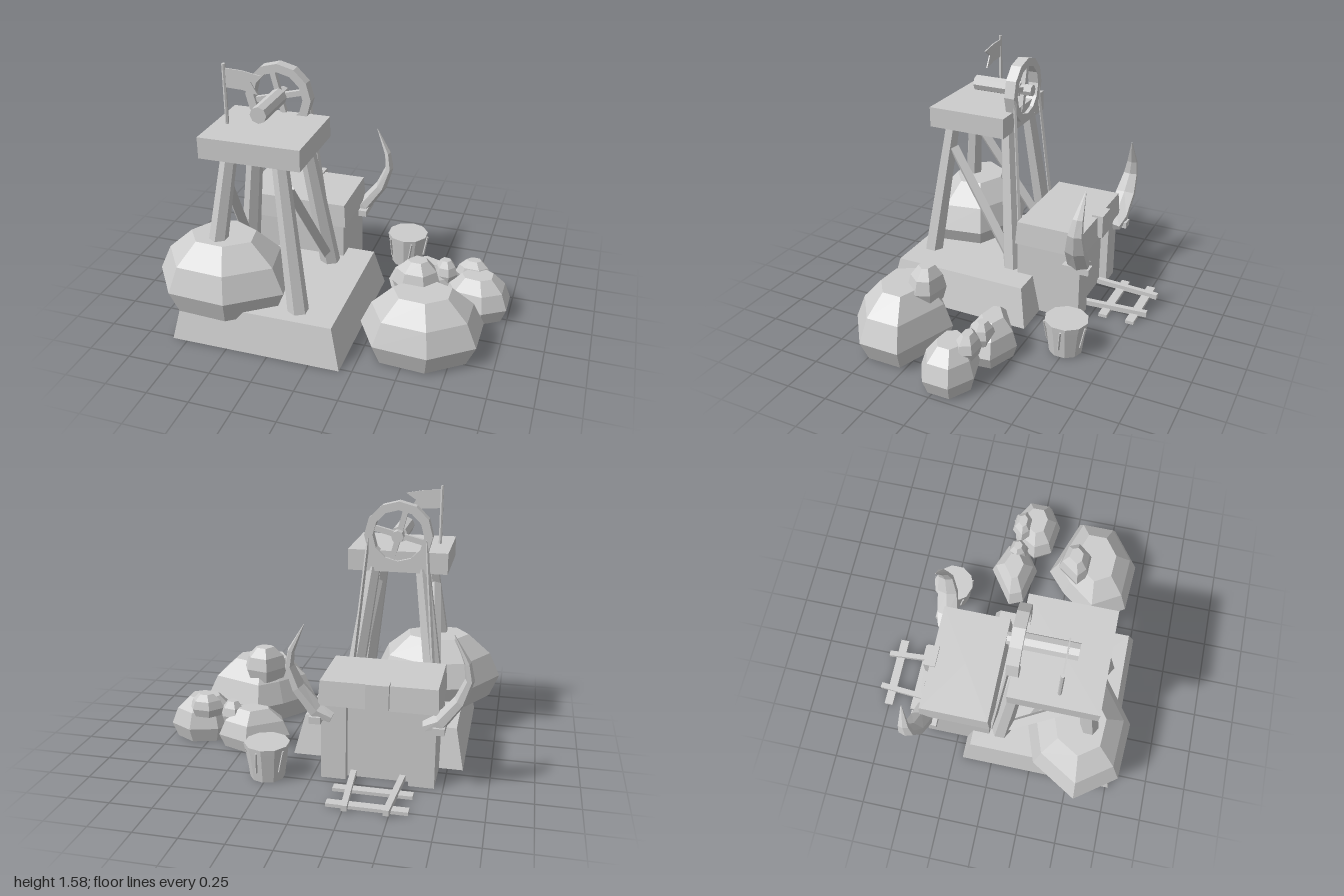
import * as THREE from 'three';

const stone = new THREE.MeshStandardMaterial({ color: 0xcccccc, flatShading: true, side: THREE.DoubleSide });
stone.name = 'stone grey';
const V = (x, y, z) => new THREE.Vector3(x, y, z);

function add(parent, name, geometry, x = 0, y = 0, z = 0) {
  const mesh = new THREE.Mesh(geometry, stone);
  mesh.name = name;
  mesh.position.set(x, y, z);
  parent.add(mesh);
  return mesh;
}

// Box given by its extents
function box(parent, name, x0, x1, y0, y1, z0, z1) {
  return add(parent, name, new THREE.BoxGeometry(x1 - x0, y1 - y0, z1 - z0),
    (x0 + x1) / 2, (y0 + y1) / 2, (z0 + z1) / 2);
}

// Tapered bar between two points
function beam(parent, name, a, b, ra, rb, sides) {
  const dir = b.clone().sub(a);
  const mesh = add(parent, name, new THREE.CylinderGeometry(rb, ra, dir.length(), sides));
  mesh.position.copy(a).addScaledVector(dir, 0.5);
  mesh.quaternion.setFromUnitVectors(V(0, 1, 0), dir.normalize());
  return mesh;
}

// Skin over a stack of rings, with optional end caps
function loft(rings, capBottom = true, capTop = true) {
  const pos = [], n = rings[0].length;
  const tri = (...pts) => pts.forEach(p => pos.push(p.x, p.y, p.z));
  const middle = ring => ring.reduce((s, p) => s.add(p), V(0, 0, 0)).divideScalar(n);
  const first = rings[0], last = rings[rings.length - 1];
  for (let i = 0; i < n; i++) {
    const j = (i + 1) % n;
    for (let k = 0; k + 1 < rings.length; k++) {
      tri(rings[k][i], rings[k][j], rings[k + 1][j]);
      tri(rings[k][i], rings[k + 1][j], rings[k + 1][i]);
    }
    if (capBottom) tri(middle(first), first[j], first[i]);
    if (capTop) tri(middle(last), last[i], last[j]);
  }
  const g = new THREE.BufferGeometry();
  g.setAttribute('position', new THREE.Float32BufferAttribute(pos, 3));
  g.computeVertexNormals();
  return g;
}

// Faceted rock: plan outline scaled at each [height, scale] level
function rock(parent, name, outline, levels) {
  const xs = outline.map(p => p[0]), zs = outline.map(p => p[1]);
  const cx = (Math.min(...xs) + Math.max(...xs)) / 2, cz = (Math.min(...zs) + Math.max(...zs)) / 2;
  add(parent, name, loft(levels.map(([y, s]) =>
    outline.map(([x, z]) => V(cx + (x - cx) * s, y, cz + (z - cz) * s)))));
}

export function createModel() {
  const model = new THREE.Group();
  model.name = 'mineHead';

  // Sloping plinth, open underneath
  const rect = (x0, x1, y, z0, z1) => [V(x0, y, z0), V(x0, y, z1), V(x1, y, z1), V(x1, y, z0)];
  add(model, 'plinth', loft([rect(-0.84, 0.18, 0, -0.19, 0.77), rect(-0.79, 0.12, 0.24, -0.14, 0.72)], false));

  // Tower: legs, braces, hoist ropes, platform
  const tower = new THREE.Group();
  tower.name = 'tower';
  model.add(tower);
  const mid = -0.385;
  for (const s of [-1, 1]) {
    beam(tower, 'frontLeg', V(mid + s * 0.29, 0.09, 0.62), V(mid + s * 0.147, 1.12, 0.495), 0.064, 0.046, 6);
    beam(tower, 'backLeg', V(mid + s * 0.29, 0.09, 0.015), V(mid + s * 0.147, 1.12, 0.12), 0.064, 0.046, 6);
    beam(tower, 'brace', V(mid + s * 0.26, 0.27, 0.04), V(mid + s * 0.185, 0.94, 0.48), 0.036, 0.036, 4);
    beam(tower, 'hoistRope', V(mid + s * 0.27, 0.22, -0.03), V(mid + s * 0.17, 1.3, 0.065), 0.014, 0.01, 4);
  }
  box(tower, 'platform', -0.68, -0.09, 1.1, 1.225, 0.08, 0.58);

  // Winding wheel and axle
  const wheel = new THREE.Group();
  wheel.name = 'windingWheel';
  wheel.position.set(-0.39, 1.32, 0.09);
  model.add(wheel);
  const rim = [[0.15, -0.033], [0.2, -0.033], [0.2, 0.033], [0.15, 0.033], [0.15, -0.033]];
  add(wheel, 'rim', new THREE.LatheGeometry(rim.map(p => new THREE.Vector2(...p)), 12)).rotation.x = Math.PI / 2;
  for (let i = 0; i < 2; i++) {
    add(wheel, 'spoke', new THREE.BoxGeometry(0.32, 0.032, 0.03)).rotation.z = 0.25 + i * Math.PI / 2;
  }
  beam(wheel, 'axle', V(0, 0, 0.01), V(0, 0, 0.32), 0.049, 0.049, 8);
  beam(wheel, 'hub', V(0, 0, -0.065), V(0, 0, 0.02), 0.036, 0.036, 8);

  // Flag with a swallow tail
  beam(model, 'flagPole', V(-0.605, 1.22, 0.35), V(-0.605, 1.575, 0.35), 0.011, 0.011, 6);
  const flag = new THREE.Shape([[-0.6, 1.44], [-0.5, 1.435], [-0.41, 1.415], [-0.45, 1.485],
    [-0.39, 1.525], [-0.5, 1.545], [-0.6, 1.55]].map(p => new THREE.Vector2(...p)));
  add(model, 'flag', new THREE.ExtrudeGeometry(flag, { depth: 0.008, bevelEnabled: false }), 0, 0, 0.346);

  // Mine entrance facing the back
  const entrance = new THREE.Group();
  entrance.name = 'entrance';
  model.add(entrance);
  box(entrance, 'chamber', -0.7, -0.05, 0, 0.46, -0.4, -0.035);
  box(entrance, 'doorPost', -0.7, -0.555, 0, 0.46, -0.45, -0.4);
  box(entrance, 'doorPost', -0.195, -0.05, 0, 0.46, -0.45, -0.4);
  add(entrance, 'roof', loft([rect(-0.715, -0.035, 0.45, -0.465, -0.025), rect(-0.705, -0.045, 0.595, -0.455, -0.035)]));
  box(entrance, 'keystone', -0.44, -0.31, 0.46, 0.607, -0.492, -0.42);

  // Curved tusks flanking the entrance: [x, y, z, half thickness, half width]
  const tuskPath = [[0.26, 0.38, -0.445, 0.03, 0.06], [0.35, 0.42, -0.45, 0.045, 0.075],
    [0.45, 0.555, -0.465, 0.036, 0.07], [0.495, 0.68, -0.478, 0.026, 0.05],
    [0.48, 0.775, -0.487, 0.02, 0.035], [0.405, 0.93, -0.5, 0.002, 0.003]];
  const tuskRings = tuskPath.map(([x, y, z, thick, wide], i) => {
    const a = tuskPath[Math.max(i - 1, 0)], b = tuskPath[Math.min(i + 1, tuskPath.length - 1)];
    const across = V(b[1] - a[1], a[0] - b[0], 0).normalize();
    return Array.from({ length: 6 }, (_, k) => {
      const t = k * Math.PI / 3;
      return V(x, y, z + Math.sin(t) * wide).addScaledVector(across, -Math.cos(t) * thick);
    });
  });
  for (const s of [1, -1]) {
    const side = new THREE.Group();
    side.name = s > 0 ? 'leftTusk' : 'rightTusk';
    side.position.x = -0.375;
    side.scale.x = s;
    add(side, 'tusk', loft(tuskRings));
    box(side, 'tuskBracket', 0.31, 0.377, 0.36, 0.4, -0.525, -0.355);
    model.add(side);
  }

  // Track running out of the entrance
  for (const z of [-0.75, -0.575]) box(model, 'sleeper', -0.6, -0.15, 0, 0.02, z - 0.027, z + 0.027);
  for (const s of [-1, 1]) {
    box(model, 'rail', -0.392, -0.358, 0.012, 0.045, -0.825, -0.41).position.x += s * 0.127;
    model.children[model.children.length - 1].rotation.y = s * 0.07;
  }

  // Tapered bucket with thin staves
  const bucket = new THREE.Group();
  bucket.name = 'bucket';
  bucket.position.set(0.255, 0, -0.495);
  model.add(bucket);
  add(bucket, 'bucketBody', new THREE.CylinderGeometry(0.125, 0.1, 0.2, 10), 0, 0.1, 0);
  add(bucket, 'bucketRim', new THREE.CylinderGeometry(0.131, 0.127, 0.035, 10), 0, 0.193, 0);
  for (let i = 0; i < 5; i++) {
    const t = i * Math.PI * 0.4 + 0.3;
    beam(bucket, 'stave', V(Math.sin(t) * 0.11, 0.06, Math.cos(t) * 0.11),
      V(Math.sin(t + 0.12) * 0.131, 0.19, Math.cos(t + 0.12) * 0.131), 0.007, 0.007, 4);
  }

  // Boulders
  rock(model, 'leaningBoulder', [[-1, 0.55], [-0.825, 0.795], [-0.48, 0.815], [-0.2, 0.61], [-0.25, 0.33],
    [-0.57, 0.18], [-0.835, 0.27]], [[0.19, 0.85], [0.33, 1], [0.48, 0.83], [0.605, 0.48]]);
  rock(model, 'largeBoulder', [[0.21, 0.45], [0.34, 0.67], [0.655, 0.69], [0.895, 0.51], [0.895, 0.26],
    [0.505, 0.12], [0.37, 0.24]], [[0, 0.84], [0.13, 1], [0.27, 0.82], [0.385, 0.47]]);
  rock(model, 'largeBoulderCap', [[0.36, 0.32], [0.43, 0.38], [0.56, 0.385], [0.635, 0.29], [0.6, 0.21],
    [0.46, 0.18]], [[0.28, 0.8], [0.36, 1], [0.44, 0.82], [0.5, 0.42]]);
  rock(model, 'middleBoulder', [[0.23, -0.11], [0.27, -0.02], [0.51, 0.03], [0.67, -0.08], [0.655, -0.2],
    [0.46, -0.275]], [[0, 0.84], [0.08, 1], [0.17, 0.82], [0.245, 0.42]]);
  rock(model, 'middleBoulderCap', [[0.51, -0.12], [0.55, -0.06], [0.62, -0.055], [0.665, -0.11], [0.64, -0.17],
    [0.55, -0.185]], [[0.14, 0.8], [0.19, 1], [0.24, 0.8], [0.28, 0.42]]);
  rock(model, 'outerBoulder', [[0.6, -0.01], [0.66, 0.1], [0.86, 0.125], [0.995, 0.04], [0.995, -0.12],
    [0.85, -0.2], [0.68, -0.15]], [[0, 0.84], [0.09, 1], [0.19, 0.82], [0.265, 0.46]]);
  rock(model, 'outerBoulderCap', [[0.65, -0.11], [0.7, -0.06], [0.81, -0.055], [0.87, -0.11], [0.83, -0.18],
    [0.72, -0.185]], [[0.17, 0.8], [0.22, 1], [0.27, 0.8], [0.31, 0.42]]);

  return model;
}
